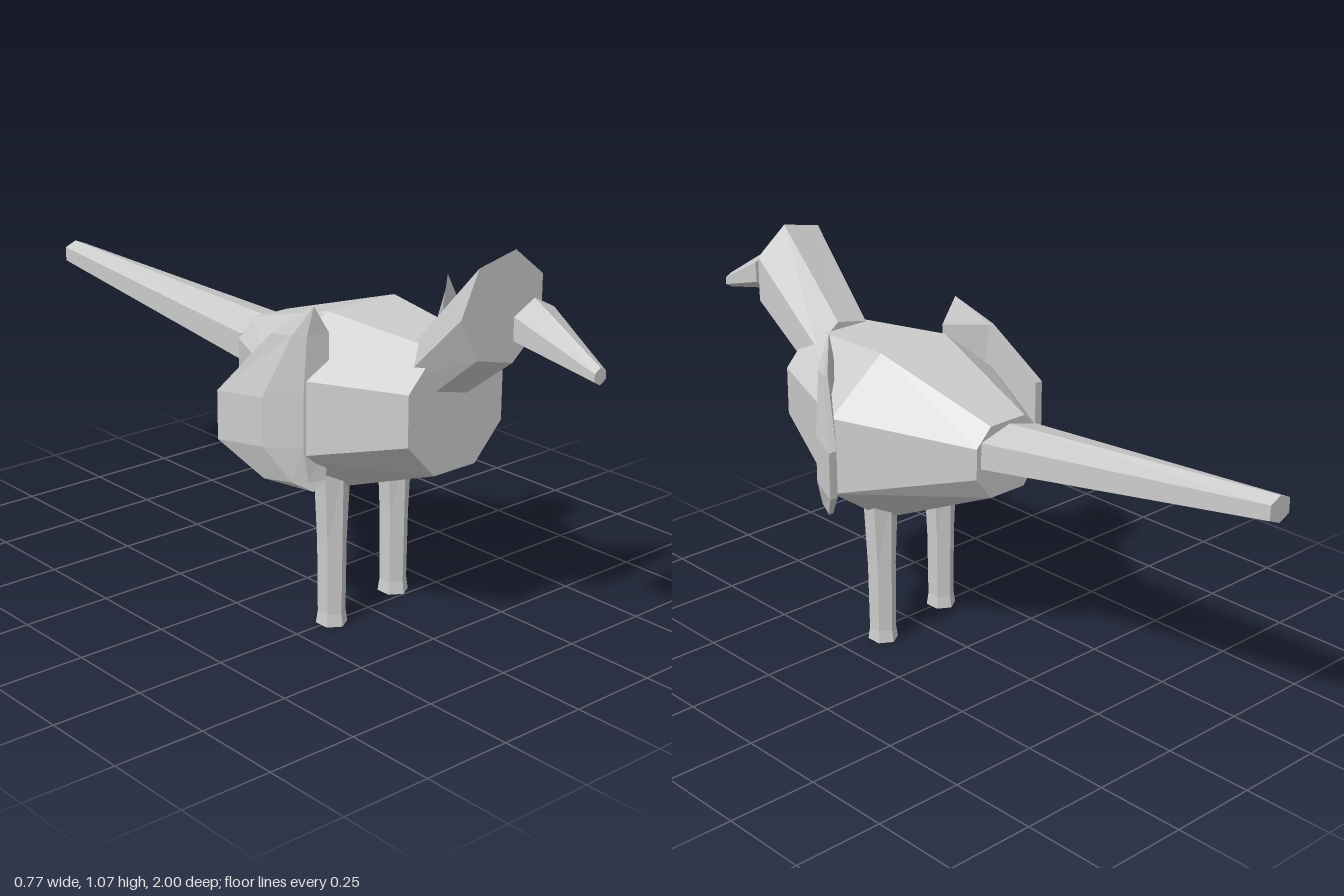
import * as THREE from 'three';

const grey = new THREE.MeshStandardMaterial({ color: 0xcccccc, flatShading: true });
grey.name = 'plain grey';

// Skin a list of rings (counter-clockwise seen from the last ring's side) and cap both ends
function loft(name, rings) {
  const pos = [];
  const n = rings[0].length;
  const tri = (...pts) => pts.forEach((p) => pos.push(...p));
  for (let k = 0; k < rings.length - 1; k++) {
    const lo = rings[k], hi = rings[k + 1];
    for (let i = 0; i < n; i++) {
      const j = (i + 1) % n;
      tri(lo[i], lo[j], hi[j]);
      tri(lo[i], hi[j], hi[i]);
    }
  }
  const first = rings[0], last = rings[rings.length - 1];
  for (let i = 1; i < n - 1; i++) {
    tri(first[0], first[i + 1], first[i]);
    tri(last[0], last[i], last[i + 1]);
  }
  const geo = new THREE.BufferGeometry();
  geo.setAttribute('position', new THREE.Float32BufferAttribute(pos, 3));
  geo.computeVertexNormals();
  const mesh = new THREE.Mesh(geo, grey);
  mesh.name = name;
  return mesh;
}

// Octagon from inner/outer half widths and four heights
const octagon = (z, cx, wIn, wOut, y0, y1, y2, y3) => [
  [wIn, y0], [wOut, y1], [wOut, y2], [wIn, y3],
  [-wIn, y3], [-wOut, y2], [-wOut, y1], [-wIn, y0],
].map(([x, y]) => [cx + x, y, z]);

// Hexagon with a corner at the top and bottom
const hexagon = (z, cx, w, y0, y1, y2, y3) => [
  [0, y0], [w, y1], [w, y2], [0, y3], [-w, y2], [-w, y1],
].map(([x, y]) => [cx + x, y, z]);

function makeLeg(name, x, z) {
  const profile = [[0, 0.041], [0.035, 0.036], [0.23, 0.038], [0.45, 0.051]];
  return loft(name, profile.map(([y, r]) =>
    Array.from({ length: 6 }, (_, i) => {
      const a = Math.PI / 6 + (i * Math.PI) / 3;
      return [x + r * Math.cos(a), y, z - 1.08 * Math.min(r, 0.041) * Math.sin(a)];
    })));
}

function makeWing(name, side, tipX) {
  const tip = (y) => Array.from({ length: 6 }, () => [tipX, y, 0.305]);
  // Sections follow the leading edge, outer face, trailing edge and inner face
  const section = (y, pts) => pts.map(([x, z]) => [x, y, z]);
  const full = [[0.195, 0.31], [0.265, 0.295], [0.335, 0.22], [0.385, 0.105], [0.36, 0.105], [0.28, 0.235]];
  const upper = [[0.195, 0.31], [0.255, 0.297], [0.28, 0.27], [0.305, 0.22], [0.29, 0.22], [0.255, 0.255]];
  const lower = [[0.205, 0.31], [0.25, 0.297], [0.28, 0.27], [0.315, 0.2], [0.3, 0.2], [0.255, 0.25]];
  let rings = [tip(0.41), section(0.435, lower), section(0.53, full),
    section(0.66, full), section(0.82, upper), tip(0.895)];
  if (side < 0) rings = rings.map((r) => r.map(([x, y, z]) => [-x, y, z]).reverse());
  return loft(name, rings);
}

export function createModel() {
  const bird = new THREE.Group();
  bird.name = 'bird';

  // Faceted body, widest behind the chest
  bird.add(loft('body', [
    octagon(-0.16, 0.005, 0.06, 0.11, 0.525, 0.59, 0.675, 0.725),
    octagon(0.21, 0, 0.115, 0.29, 0.36, 0.485, 0.7, 0.838),
    octagon(0.56, 0, 0.07, 0.16, 0.485, 0.58, 0.715, 0.81),
  ]));

  // Long tapering tail
  bird.add(loft('tail', [
    hexagon(-1, -0.055, 0.035, 0.7, 0.715, 0.755, 0.77),
    hexagon(-0.155, 0, 0.1, 0.58, 0.615, 0.688, 0.715),
  ]));

  // Seven-sided head, flaring forward and up
  const face = [[-0.08, 0.82], [0.04, 0.79], [0.135, 0.87], [0.135, 0.995],
    [0.04, 1.07], [-0.08, 1.045], [-0.135, 0.93]];
  bird.add(loft('head', [
    face.map(([x, y]) => [x * 0.82, 0.73 + (y - 0.93) * 0.76, 0.487]),
    face.map(([x, y]) => [x, y, 0.705]),
  ]));

  // Separate beak, pointing down
  bird.add(loft('beak', [
    hexagon(0.8, 0.007, 0.067, 0.855, 0.888, 0.946, 0.98),
    hexagon(1, 0.017, 0.019, 0.815, 0.826, 0.846, 0.857),
  ]));

  // Wings and legs
  bird.add(makeWing('leftWing', 1, 0.213));
  bird.add(makeWing('rightWing', -1, 0.24));
  bird.add(makeLeg('leftLeg', 0.13, 0.205));
  bird.add(makeLeg('rightLeg', -0.13, 0.25));
  return bird;
}
